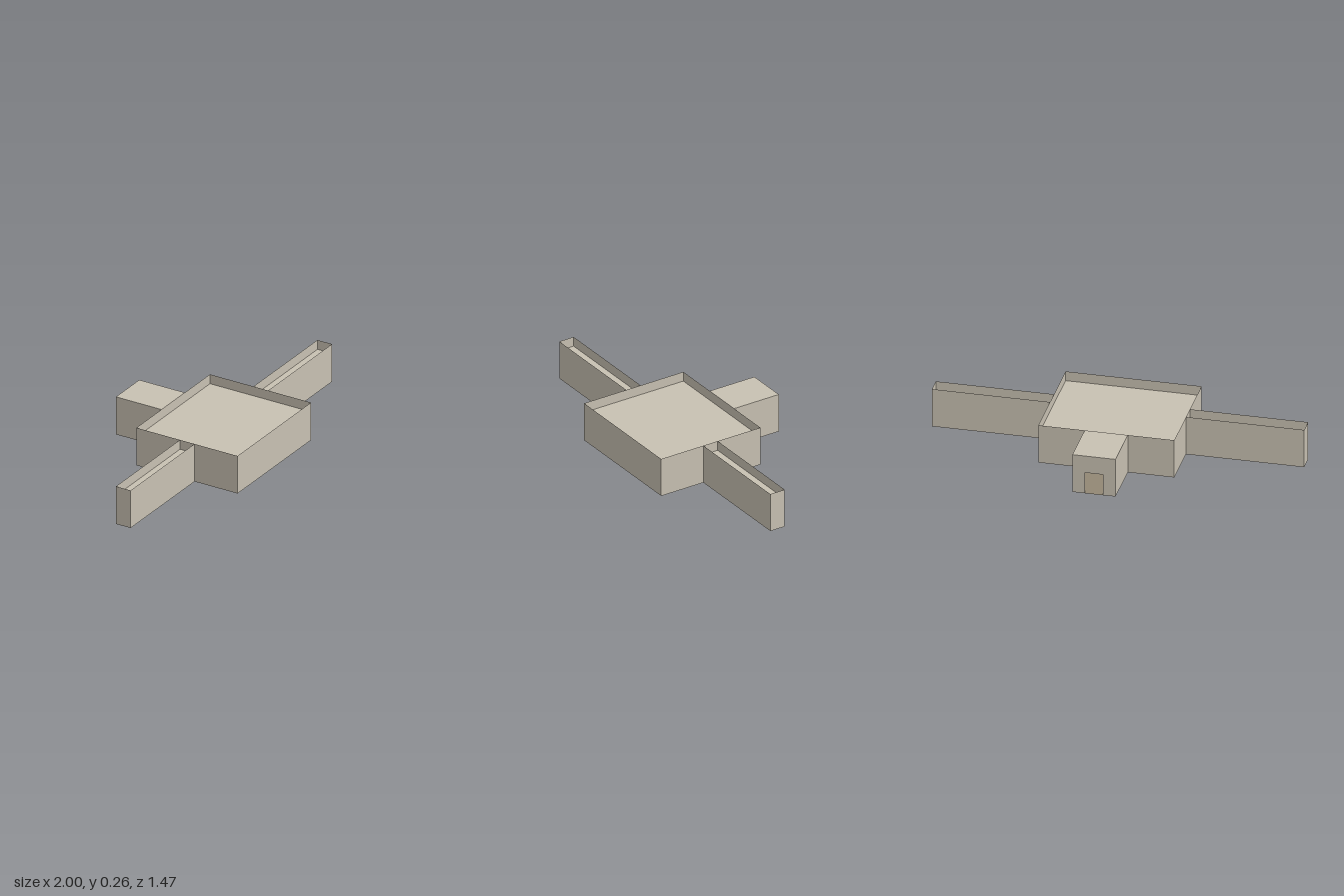
import * as THREE from 'three';

const H = 0.262;          // wall height
const ROOF = 0.197;       // sunken roof level behind the parapet

export function createModel() {
  const stone = new THREE.MeshStandardMaterial({ color: 0xc8c1b2, side: THREE.DoubleSide });
  stone.name = 'stone';
  const earth = new THREE.MeshStandardMaterial({ color: 0x928874, side: THREE.DoubleSide });
  earth.name = 'floorBrown';

  const model = new THREE.Group();
  model.name = 'building';
  const plan = new THREE.Group();
  plan.name = 'rotatedPlan';
  plan.rotation.y = THREE.MathUtils.degToRad(35.6);
  model.add(plan);

  // Thin upright wall from plan point a to plan point b, with an optional centred doorway
  function wall(parent, name, a, b, door) {
    const dx = b[0] - a[0], dz = b[1] - a[1], w = Math.hypot(dx, dz) / 2;
    const s = new THREE.Shape();
    s.moveTo(-w, 0);
    if (door) {
      s.lineTo(-door.w / 2, 0);
      s.lineTo(-door.w / 2, door.h);
      s.lineTo(door.w / 2, door.h);
      s.lineTo(door.w / 2, 0);
    }
    s.lineTo(w, 0);
    s.lineTo(w, H);
    s.lineTo(-w, H);
    s.closePath();
    const m = new THREE.Mesh(new THREE.ShapeGeometry(s), stone);
    m.name = name;
    m.position.set((a[0] + b[0]) / 2, 0, (a[1] + b[1]) / 2);
    m.rotation.y = Math.atan2(-dz, dx);
    parent.add(m);
  }

  // Horizontal rectangle
  function slab(parent, name, x0, x1, z0, z1, y, material) {
    const g = new THREE.PlaneGeometry(x1 - x0, z1 - z0).rotateX(-Math.PI / 2);
    const m = new THREE.Mesh(g, material);
    m.name = name;
    m.position.set((x0 + x1) / 2, y, (z0 + z1) / 2);
    parent.add(m);
  }

  // A room with floor, roof and the listed walls
  function room(name, x0, x1, z0, z1, roofY, sides, door) {
    const g = new THREE.Group();
    g.name = name;
    plan.add(g);
    slab(g, 'floor', x0, x1, z0, z1, 0, earth);
    slab(g, 'roof', x0, x1, z0, z1, roofY, stone);
    const ends = {
      front: [[x0, z1], [x1, z1]],
      left: [[x1, z1], [x1, z0]],
      back: [[x1, z0], [x0, z0]],
      right: [[x0, z0], [x0, z1]],
    };
    for (const side of sides) {
      wall(g, side + 'Wall', ...ends[side], side === 'back' ? door : undefined);
    }
  }

  room('mainHall', -0.435, 0.435, -0.374, 0.367, ROOF, ['front', 'left', 'back', 'right']);
  room('leftWing', 0.435, 1.192, -0.055, 0.052, ROOF, ['front', 'left', 'back']);
  room('rightWing', -1.192, -0.435, -0.055, 0.052, ROOF, ['front', 'back', 'right']);
  // Entrance porch with a doorway in its outer end
  room('porch', -0.138, 0.138, -0.708, -0.374, H, ['left', 'back', 'right'], { w: 0.115, h: 0.145 });

  return model;
}
